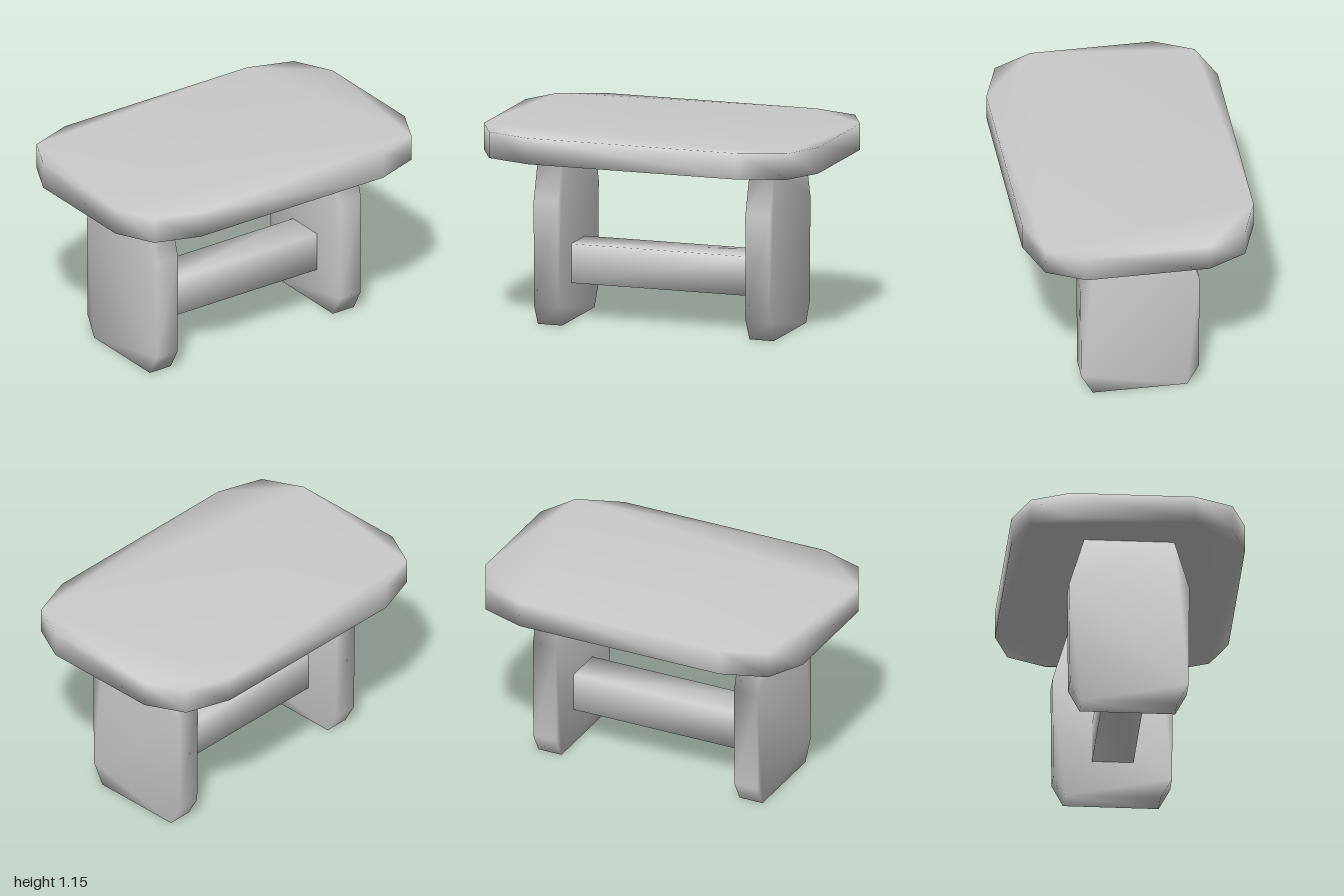
import * as THREE from 'three';
import { mergeVertices } from 'three/addons/utils/BufferGeometryUtils.js';

const material = new THREE.MeshStandardMaterial({ color: 0xcccccc, side: THREE.DoubleSide });

// Weld shared corners so the shading runs smoothly over every edge.
function smooth(geometry) {
  geometry.deleteAttribute('normal');
  geometry.deleteAttribute('uv');
  const welded = mergeVertices(geometry, 1e-4);
  welded.computeVertexNormals();
  return welded;
}

// Slab from an outline, centred on its thickness along z.
function slab(points, depth) {
  const shape = new THREE.Shape(points.map(([x, y]) => new THREE.Vector2(x, y)));
  const geometry = new THREE.ExtrudeGeometry(shape, { depth, bevelEnabled: false });
  return geometry.translate(0, 0, -depth / 2);
}

function addPart(group, name, geometry) {
  const mesh = new THREE.Mesh(smooth(geometry), material);
  mesh.name = name;
  group.add(mesh);
  return mesh;
}

export function createModel() {
  const group = new THREE.Group();
  group.name = 'stool';

  // Seat: flat slab with faceted corners, mirrored from one quarter
  const quarter = [[1, 0.35], [0.89, 0.57], [0.63, 0.66]];
  const half = [...quarter, ...quarter.map(([x, z]) => [-x, z]).reverse()];
  const outline = [...half, ...half.map(([x, z]) => [-x, -z])];
  addPart(group, 'seat', slab(outline, 0.15).rotateX(-Math.PI / 2).translate(0, 1.075, 0));

  // Legs: upright panels, tapered at the top and clipped at the foot
  const edge = [[0.27, 0], [0.335, 0.12], [0.34, 0.72], [0.255, 1]];
  const panel = [...edge, ...edge.map(([z, y]) => [-z, y]).reverse()];
  for (const [name, side] of [['leftLeg', 1], ['rightLeg', -1]]) {
    addPart(group, name, slab(panel, 0.145).rotateY(Math.PI / 2).translate(side * 0.633, 0, 0));
  }

  // Stretcher between the legs
  addPart(group, 'stretcher', new THREE.BoxGeometry(1.125, 0.225, 0.235).translate(0, 0.328, 0));

  return group;
}
